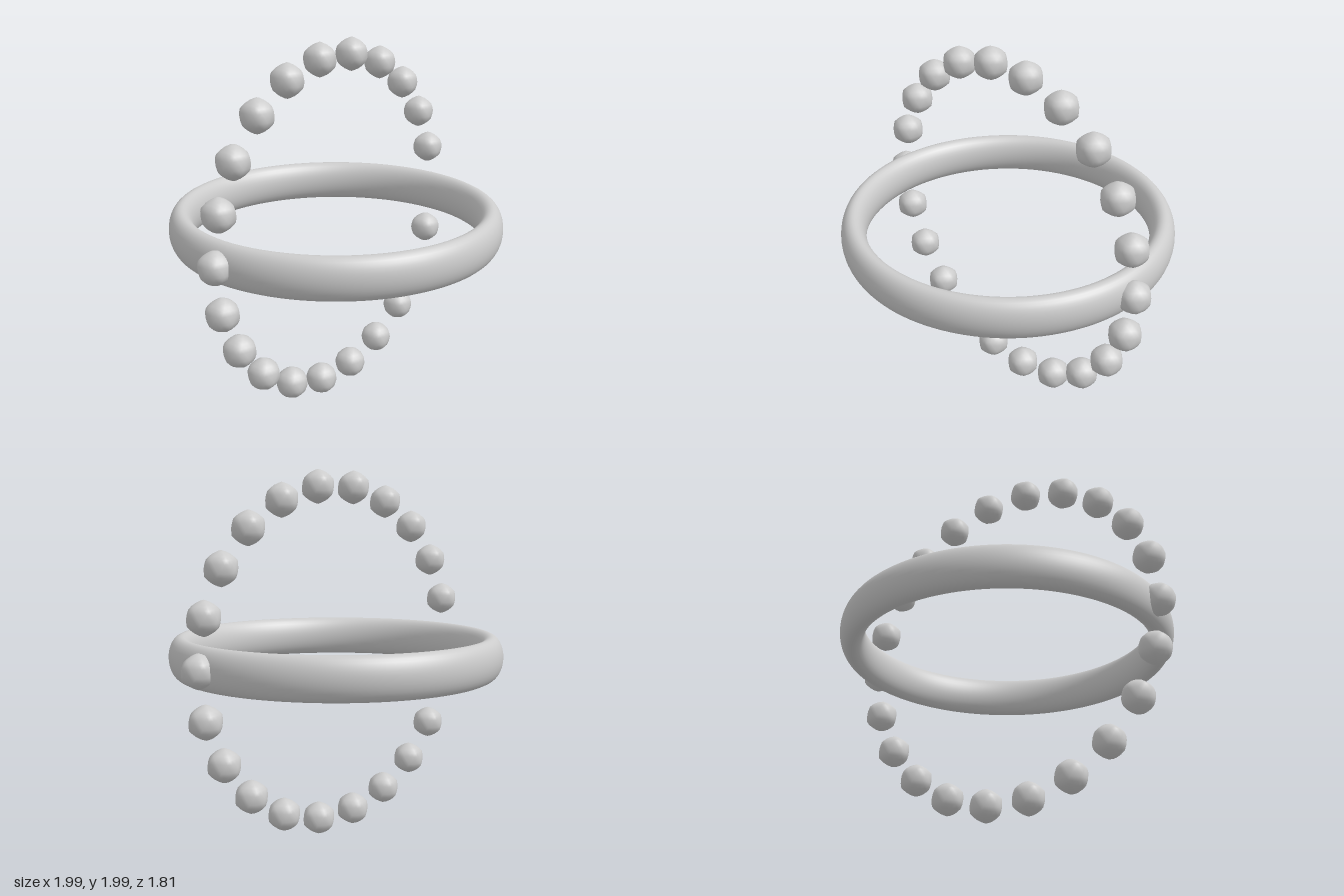
import * as THREE from 'three';
import { mergeVertices } from 'three/addons/utils/BufferGeometryUtils.js';

const material = new THREE.MeshStandardMaterial({ color: 0xcccccc });

// Softly inflated icosahedron with a corner pointing straight up
function beadGeometry(radius, roundness) {
  const flat = new THREE.IcosahedronGeometry(1, 0).getAttribute('normal');
  const normals = [];
  for (let i = 0; i < flat.count; i += 3) normals.push(new THREE.Vector3().fromBufferAttribute(flat, i));

  let geo = new THREE.IcosahedronGeometry(1, 3);
  geo.deleteAttribute('normal');
  geo.deleteAttribute('uv');
  geo = mergeVertices(geo, 1e-4);

  const pos = geo.getAttribute('position');
  const d = new THREE.Vector3();
  const inradius = 0.7947;
  for (let i = 0; i < pos.count; i++) {
    d.fromBufferAttribute(pos, i).normalize();
    const facet = inradius / Math.max(...normals.map((n) => n.dot(d)));
    d.multiplyScalar(radius * THREE.MathUtils.lerp(facet, 1, roundness));
    pos.setXYZ(i, d.x, d.y, d.z);
  }
  geo.rotateZ(-Math.atan(2 / (1 + Math.sqrt(5))));
  geo.computeVertexNormals();
  return geo;
}

export function createModel() {
  const model = new THREE.Group();
  model.name = 'ringWithBeads';

  // Horizontal band with a tall elliptical section
  const bandGeo = new THREE.TorusGeometry(0.8375, 0.0675, 32, 128);
  bandGeo.rotateX(Math.PI / 2);
  bandGeo.scale(1, 0.1125 / 0.0675, 1);
  const band = new THREE.Mesh(bandGeo, material);
  band.name = 'band';
  band.position.y = 1;
  model.add(band);

  // Upright circle of beads
  const beads = new THREE.Group();
  beads.name = 'beadCircle';
  beads.position.y = 1;
  const beadGeo = beadGeometry(0.091, 0.6);
  const count = 22;
  for (let i = 0; i < count; i++) {
    const a = (i / count) * Math.PI * 2;
    const bead = new THREE.Mesh(beadGeo, material);
    bead.name = `bead${i + 1}`;
    bead.position.set(0.911 * Math.cos(a), 0.911 * Math.sin(a), 0);
    beads.add(bead);
  }
  model.add(beads);

  return model;
}
